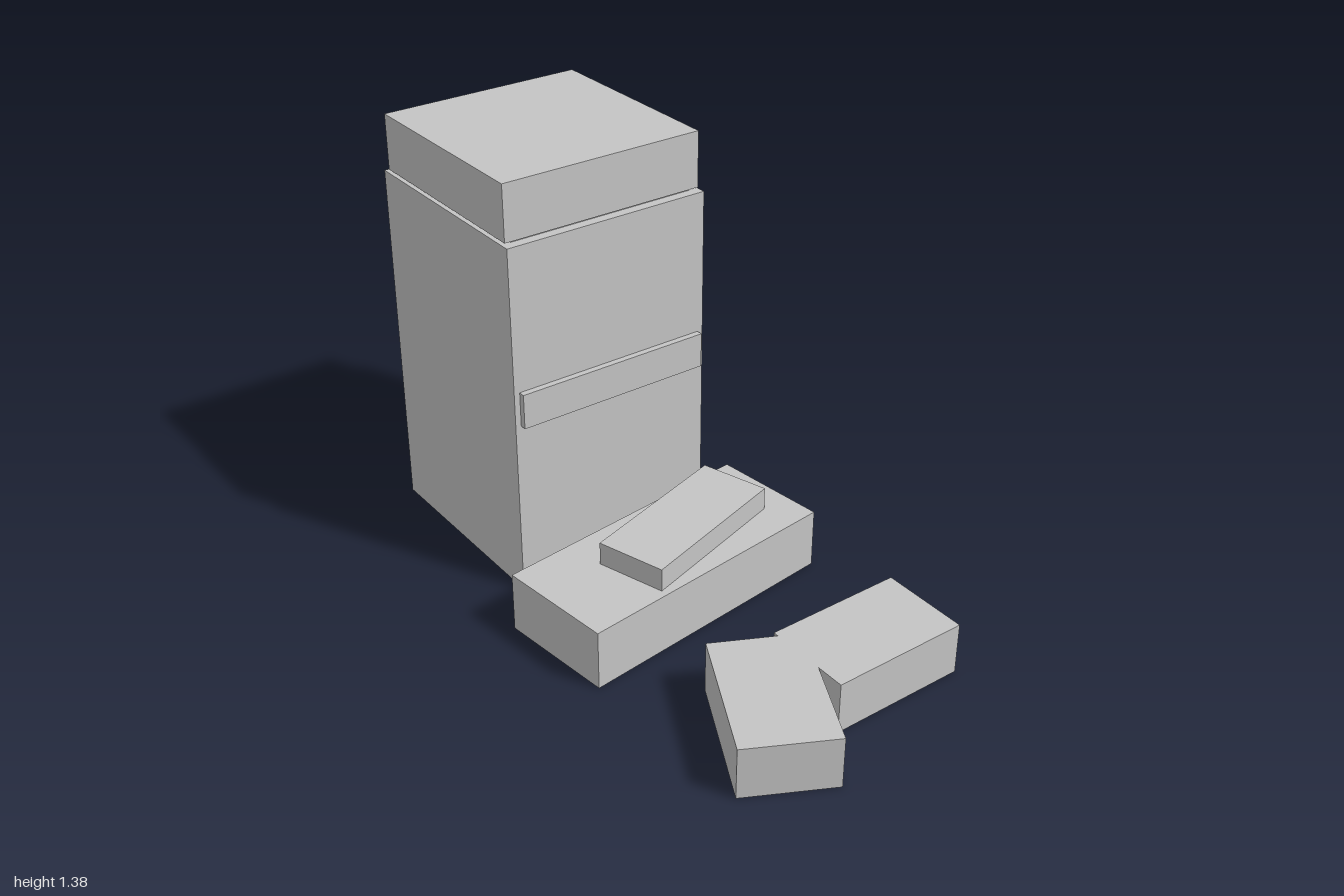
import * as THREE from 'three';

export function createModel() {
  const model = new THREE.Group();
  model.name = 'towerAndBlocks';
  const grey = new THREE.MeshStandardMaterial({ color: 0xc4c4c4 });
  grey.name = 'light grey';

  const add = (name, geometry) => {
    const mesh = new THREE.Mesh(geometry, grey);
    mesh.name = name;
    model.add(mesh);
    return mesh;
  };

  // Box given by its minimum and maximum corners
  const span = (name, [x0, y0, z0], [x1, y1, z1]) =>
    add(name, new THREE.BoxGeometry(x1 - x0, y1 - y0, z1 - z0))
      .position.set((x0 + x1) / 2, (y0 + y1) / 2, (z0 + z1) / 2);

  // Box turned about the vertical axis, standing on a given height
  const turned = (name, [w, h, d], [x, y, z], angle) => {
    const mesh = add(name, new THREE.BoxGeometry(w, h, d));
    mesh.position.set(x, y + h / 2, z);
    mesh.rotation.y = angle;
  };

  // Tower with a recessed neck, a cap and a front strip
  span('towerBody', [-0.352, 0, -1], [0.35, 1.187, -0.277]);
  span('towerNeck', [-0.32, 1.187, -0.967], [0.318, 1.195, -0.31]);
  span('towerCap', [-0.346, 1.195, -0.98], [0.343, 1.377, -0.298]);
  span('frontStrip', [-0.333, 0.597, -0.277], [0.331, 0.713, -0.256]);

  // Stepped block in the middle
  turned('middleBlock', [0.917, 0.2, 0.393], [-0.003, 0, 0.015], 0.12);
  turned('middleBlockStep', [0.55, 0.077, 0.234], [0.063, 0.2, 0.015], 0.3);

  // Bent block in front: plan outline as x, z
  const outline = [
    [-0.19, 0.455], [0, 0.551], [0, 0.533], [0.46, 0.533], [0.46, 0.826],
    [0, 0.826], [0, 0.73], [-0.136, 1], [-0.398, 0.863],
  ];
  const shape = new THREE.Shape(outline.map(([x, z]) => new THREE.Vector2(x, -z)));
  const bent = new THREE.ExtrudeGeometry(shape, { depth: 0.172, bevelEnabled: false });
  add('bentFrontBlock', bent.rotateX(-Math.PI / 2));

  return model;
}
